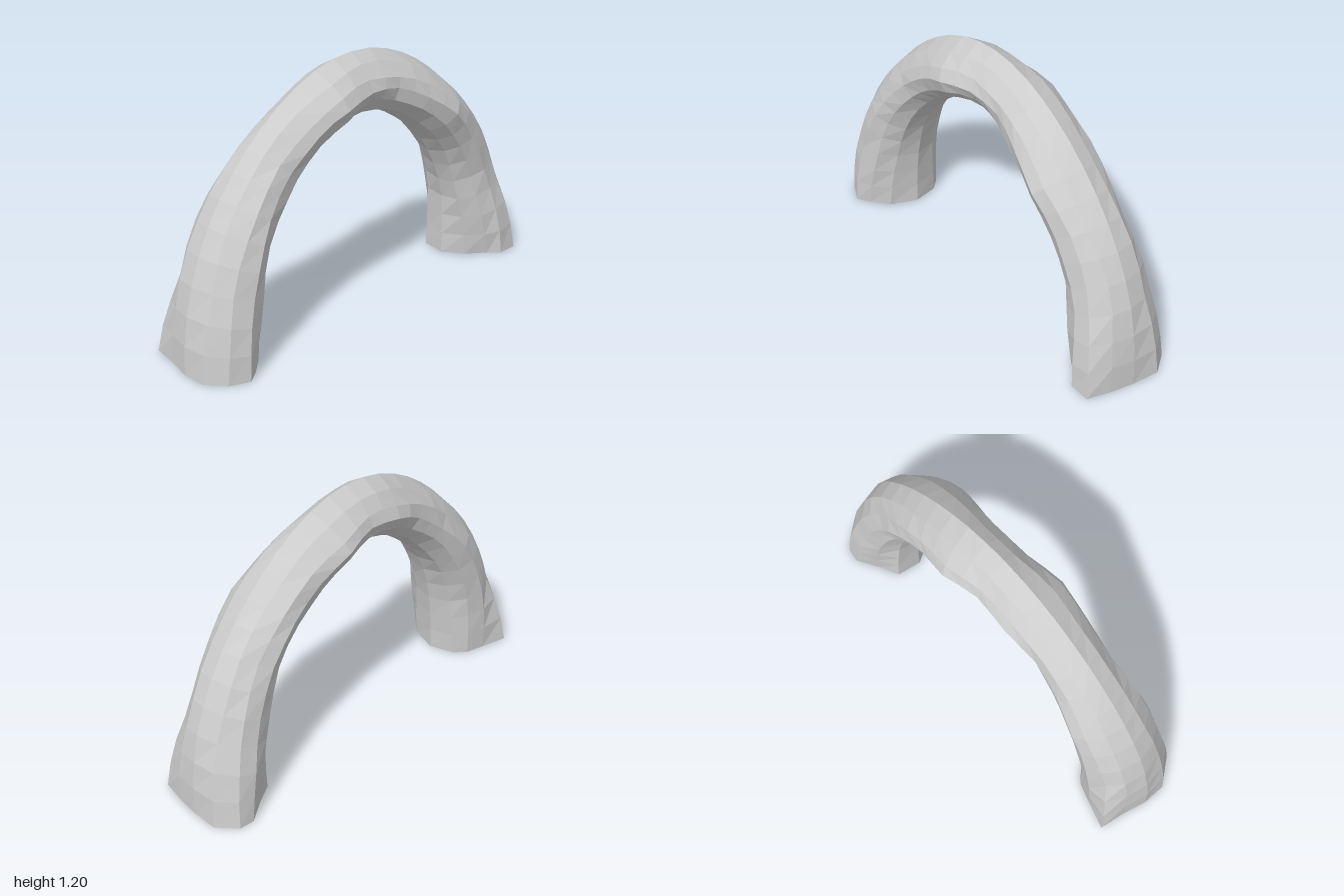
import * as THREE from 'three';

const SEGMENTS = 28, SIDES = 12;

// Half widths towards +x and -x at even stations from the front foot to the back foot
const widthLeft = [0.24, 0.22, 0.2, 0.175, 0.15, 0.155, 0.17, 0.13, 0.13, 0.16, 0.19, 0.17, 0.165, 0.19, 0.22];
const widthRight = [0.22, 0.2, 0.195, 0.185, 0.155, 0.14, 0.155, 0.155, 0.19, 0.17, 0.165, 0.165, 0.19, 0.21, 0.22];

// Slump of the crown's sides, from the ridge down to the underside
const slump = [0, 0.1, 0.13, 0.06, 0, 0, 0];

// Foot outlines [x, z], from the outer middle round through +x
const frontFoot = [[0, 1], [0.11, 1], [0.2, 0.93], [0.24, 0.84], [0.2, 0.78], [0.13, 0.7],
  [0, 0.65], [-0.12, 0.68], [-0.17, 0.73], [-0.2, 0.82], [-0.24, 0.95], [-0.12, 0.97]];
const backFoot = [[0, -0.99], [0.11, -0.97], [0.22, -0.94], [0.22, -0.84], [0.17, -0.79], [0.1, -0.7],
  [0, -0.64], [-0.12, -0.66], [-0.17, -0.76], [-0.23, -0.86], [-0.22, -0.93], [-0.13, -1]];

function sample(list, u) {
  const f = u * (list.length - 1), i = Math.min(Math.floor(f), list.length - 2);
  return THREE.MathUtils.lerp(list[i], list[i + 1], f - i);
}

// Small repeatable unevenness for the rough stone surface
function rough(i, k) {
  return 0.006 * Math.sin(i * 1.3 + k * 2.1) + 0.005 * Math.sin(i * 0.7 - k * 3.7);
}

// One corner of cross-section i
function corner(i, k) {
  const u = i / SEGMENTS, t = u * Math.PI;
  const c = Math.cos(t), s = Math.sin(t);
  const a = (k / SIDES) * Math.PI * 2;

  // Blend between the inner and outer curves; both are a little flat at the shoulders
  const shoulder = Math.sin(2 * t) ** 2;
  const inner = shoulder * (0.045 * c * c - 0.02 * s * s);
  const outer = -0.035 * shoulder * s * s;
  let m = (1 + Math.cos(a)) / 2 - slump[Math.min(k, SIDES - k)] * s ** 4;
  if (k !== 0) m += rough(i, k) * 1.5;
  const width = sample(Math.sin(a) > 0 ? widthLeft : widthRight, u);
  const p = new THREE.Vector3(
    k % 6 === 0 ? 0 : Math.sin(a) * width + rough(i, k + 4) * 0.5,
    s * THREE.MathUtils.lerp(0.915 + inner, 1.195 + outer, m),
    c * THREE.MathUtils.lerp(0.65 + inner, 1 + outer, m)
  );

  // Flare into the irregular feet
  const fromEnd = Math.min(i, SEGMENTS - i);
  const w = Math.max(0, 1 - fromEnd / 3);
  const foot = (i < SEGMENTS / 2 ? frontFoot : backFoot)[k];
  p.x += (foot[0] - p.x) * w;
  p.z += (foot[1] * Math.abs(c) - p.z) * w;
  if (fromEnd === 0) p.y = 0;
  return p;
}

export function createModel() {
  const positions = [], indices = [];
  for (let i = 0; i <= SEGMENTS; i++) {
    for (let k = 0; k < SIDES; k++) positions.push(...corner(i, k).toArray());
  }
  for (let i = 0; i < SEGMENTS; i++) {
    for (let k = 0; k < SIDES; k++) {
      const n = (k + 1) % SIDES;
      const a = i * SIDES + k, b = i * SIDES + n;
      const c = b + SIDES, d = a + SIDES;
      indices.push(a, b, c, a, c, d);
    }
  }
  const geometry = new THREE.BufferGeometry();
  geometry.setAttribute('position', new THREE.Float32BufferAttribute(positions, 3));
  geometry.setIndex(indices);
  geometry.computeVertexNormals();

  // Hollow arch, open at both feet
  const arch = new THREE.Mesh(geometry, new THREE.MeshStandardMaterial({
    color: 0xcccccc, flatShading: true, side: THREE.DoubleSide,
  }));
  arch.name = 'rockArch';

  const group = new THREE.Group();
  group.name = 'archModel';
  group.add(arch);
  return group;
}
